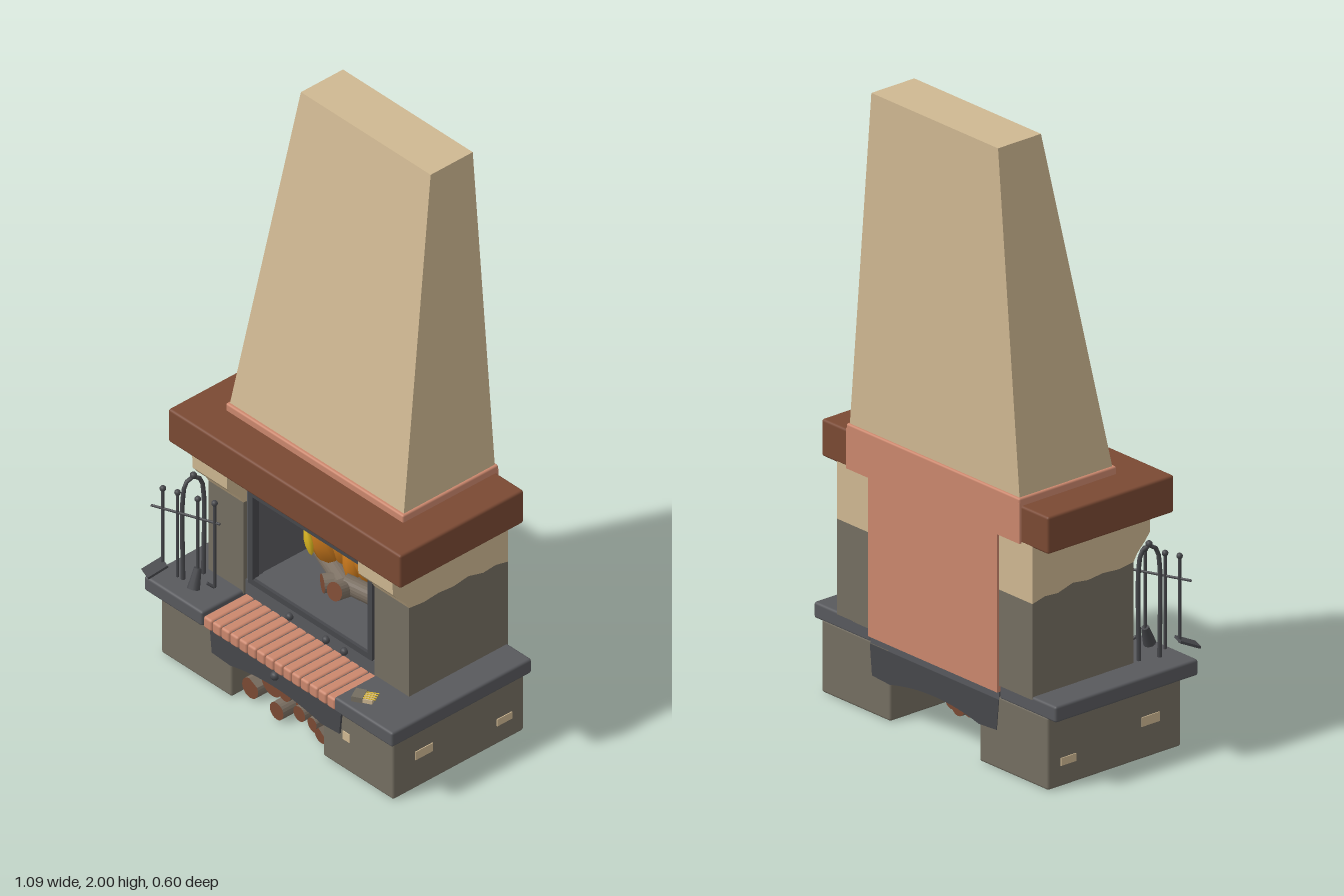
import * as THREE from 'three';
import { RoundedBoxGeometry } from 'three/addons/geometries/RoundedBoxGeometry.js';

const mat = (name, color) => {
  const m = new THREE.MeshStandardMaterial({ color });
  m.name = name;
  return m;
};

export function createModel() {
  const plaster = mat('plaster', 0xcfb892), wood = mat('wood', 0x7a4933), brick = mat('brick', 0xcb876d);
  const stone = mat('stone', 0x746e61), slate = mat('slate', 0x58595d), iron = mat('iron', 0x46474b);
  const soot = mat('soot', 0x4a402e), flame = mat('flame', 0xcf7c1e), ember = mat('ember', 0xd6b21f);
  const bark = mat('bark', 0x7b6f62);
  const model = new THREE.Group();
  model.name = 'fireplace';

  const add = (name, geo, material, parent = model) => {
    const mesh = new THREE.Mesh(geo, material);
    mesh.name = name;
    parent.add(mesh);
    return mesh;
  };
  const group = (name) => {
    const g = new THREE.Group();
    g.name = name;
    model.add(g);
    return g;
  };
  // Box given by its limits, with optional rounded edges
  const box = (name, x0, x1, y0, y1, z0, z1, material, r = 0, parent = model) => {
    const s = [x1 - x0, y1 - y0, z1 - z0];
    const geo = r ? new RoundedBoxGeometry(...s, 2, r) : new THREE.BoxGeometry(...s);
    geo.translate((x0 + x1) / 2, (y0 + y1) / 2, (z0 + z1) / 2);
    return add(name, geo, material, parent);
  };
  // Round bar between two points
  const rod = (name, a, b, r, material, parent, r2 = r) => {
    const p = new THREE.Vector3(...a), q = new THREE.Vector3(...b);
    const mesh = add(name, new THREE.CylinderGeometry(r2, r, p.distanceTo(q), 10), material, parent);
    mesh.position.copy(p).add(q).multiplyScalar(0.5);
    mesh.quaternion.setFromUnitVectors(new THREE.Vector3(0, 1, 0), q.sub(p).normalize());
    return mesh;
  };
  const ball = (name, x, y, z, r, material, parent) =>
    add(name, new THREE.SphereGeometry(r, 12, 8), material, parent).position.set(x, y, z);
  const shapeOf = (pts) => new THREE.Shape(pts.map(([x, y]) => new THREE.Vector2(x, y)));

  // Tapered hood with an upright back
  const hood = new THREE.BoxGeometry(1, 1, 1);
  const p = hood.attributes.position;
  for (let i = 0; i < p.count; i++) {
    const top = p.getY(i) > 0, front = p.getZ(i) > 0;
    p.setXYZ(i, Math.sign(p.getX(i)) * (top ? 0.285 : 0.383), top ? 2 : 0.89, front ? (top ? -0.13 : 0.07) : -0.3);
  }
  hood.computeVertexNormals();
  add('hood', hood, plaster);
  box('hoodLip', -0.39, 0.39, 0.875, 0.905, -0.308, 0.078, brick, 0.006);

  // Mantel and back wall
  box('mantel', -0.51, 0.51, 0.76, 0.88, -0.3, 0.2, wood, 0.008);
  box('backWall', -0.29, 0.29, 0.25, 0.77, -0.308, -0.285, brick);
  box('backWallTop', -0.39, 0.39, 0.76, 0.89, -0.308, -0.29, brick);

  // Pillars: bare stone below, plaster with a corbel above, meeting in a ragged line
  const rag = [[-0.3, 0.58], [-0.25, 0.592], [-0.2, 0.588], [-0.14, 0.605], [-0.08, 0.597], [-0.02, 0.603], [0.04, 0.598], [0.1, 0.605]];
  const lower = shapeOf([[-0.3, 0.27], [0.1, 0.27], ...[...rag].reverse()]);
  const upper = shapeOf([...rag, [0.115, 0.63], [0.145, 0.66], [0.165, 0.685], [0.168, 0.765], [-0.3, 0.765]]);
  for (const [side, s] of [['left', 1], ['right', -1]]) {
    for (const [part, shape, material] of [['PillarStone', lower, stone], ['PillarPlaster', upper, plaster]]) {
      const geo = new THREE.ExtrudeGeometry(shape, { depth: 0.152, bevelEnabled: false });
      geo.rotateY(-Math.PI / 2).translate(s * 0.364 + 0.076, 0, 0);
      add(side + part, geo, material);
    }
    // Base block and ledge
    box(side + 'Base', s > 0 ? 0.2 : -0.51, s > 0 ? 0.51 : -0.2, 0, 0.235, -0.3, 0.228, stone, 0.008);
    box(side + 'Ledge', s > 0 ? 0.29 : -0.545, s > 0 ? 0.545 : -0.29, 0.228, 0.28, -0.3, 0.265, slate, 0.008);
    // Worn patches on the base
    for (const [z, y, w, h] of [[0.105, 0.12, 0.07, 0.03], [-0.22, 0.08, 0.06, 0.025]])
      box(side + 'Patch', s * 0.511 - 0.002, s * 0.511 + 0.002, y - h / 2, y + h / 2, z - w / 2, z + w / 2, plaster);
  }
  box('frontPatch', 0.29, 0.32, 0.11, 0.14, 0.226, 0.231, plaster);

  // Arched lintel over the log store
  const arch = shapeOf([[-0.29, 0.225], [-0.28, 0.125], [-0.2, 0.12]]);
  arch.quadraticCurveTo(0, 0.17, 0.2, 0.12);
  arch.lineTo(0.28, 0.125);
  arch.lineTo(0.29, 0.225);
  add('lintel', new THREE.ExtrudeGeometry(arch, { depth: 0.537, bevelEnabled: false, curveSegments: 16 }).translate(0, 0, -0.302), iron);
  ball('lintelKnob', 0, 0.19, 0.237, 0.015, iron);

  // Brick hearth edge and brick course above the door
  const n = 15, step = 0.58 / n;
  for (let i = 0; i < n; i++) {
    const x = -0.29 + i * step;
    box('hearthBrick', x + 0.001, x + step - 0.001, 0.226, 0.267, 0.06, 0.262, brick, 0.008);
    const drop = 0.012 * (1 - Math.abs(i - 7) / 7);
    box('upperBrick', x + 0.001, x + step - 0.001, 0.685 - drop, 0.765, -0.02, 0.108, brick, 0.006);
  }
  box('hearthBed', -0.29, 0.29, 0.22, 0.262, -0.3, 0.25, slate);

  // Firebox lining
  box('fireboxBack', -0.28, 0.28, 0.28, 0.68, -0.285, -0.26, soot);
  box('fireboxCeiling', -0.29, 0.29, 0.655, 0.76, -0.285, 0.06, soot);
  box('fireboxFloor', -0.29, 0.29, 0.262, 0.33, -0.285, 0.06, slate);
  for (const s of [-1, 1])
    box('fireboxWall', s * 0.28 - 0.012, s * 0.28 + 0.012, 0.3, 0.68, -0.285, 0.06, slate);

  // Door frame with raised inner rim
  const frame = (name, w, y0, y1, t, z, d, material) => {
    const s = shapeOf([[-w, y0], [w, y0], [w, y1], [-w, y1]]);
    const k = w - t;
    s.holes.push(new THREE.Path([[-k, y0 + t], [-k, y1 - t], [k, y1 - t], [k, y0 + t]].map(([x, y]) => new THREE.Vector2(x, y))));
    add(name, new THREE.ExtrudeGeometry(s, { depth: d, bevelEnabled: false }).translate(0, 0, z), material);
  };
  frame('doorFrame', 0.29, 0.305, 0.68, 0.035, 0.05, 0.035, slate);
  frame('doorRim', 0.272, 0.318, 0.66, 0.02, 0.07, 0.025, iron);
  box('ashDrawer', -0.29, 0.29, 0.262, 0.32, 0.05, 0.09, slate);
  for (const x of [-0.09, 0.07, 0.15]) ball('drawerKnob', x, 0.29, 0.095, 0.013, iron);

  // Logs, some with a missing wedge: brown cut ends, bark around
  const log = (name, x, y, r, z0, len, cut, turn, parent) => {
    const s = new THREE.Shape();
    if (cut) s.moveTo(0, 0);
    s.absarc(0, 0, r, turn, turn + Math.PI * 2 - cut, false);
    const geo = new THREE.ExtrudeGeometry(s, { depth: len, bevelEnabled: false, curveSegments: 10 });
    const mesh = add(name, geo, [wood, bark], parent);
    mesh.position.set(x, y, z0);
    return mesh;
  };
  const store = group('logStore');
  for (const [x, y, r, cut, turn, z] of [
    [-0.16, 0.036, 0.035, 1.2, 1.7, -0.1], [-0.085, 0.085, 0.047, 0, 0, -0.12], [-0.022, 0.035, 0.03, 0, 0, -0.08],
    [0.04, 0.05, 0.032, 0, 0, -0.13], [-0.01, 0.097, 0.028, 1, 0.8, -0.1], [0.088, 0.088, 0.026, 0, 0, -0.07],
    [0.1, 0.031, 0.03, 1.4, 2, -0.12], [0.152, 0.03, 0.029, 2.6, 2.2, -0.1], [0.134, 0.072, 0.02, 0.8, 0.4, -0.08],
  ]) log('storedLog', x, y, r, z, 0.29, cut, turn, store);

  // Burning logs and flames
  const fire = group('fire');
  for (const [x, y, z, ry, rx] of [[-0.19, 0.37, -0.13, 1.2, 0], [0.2, 0.37, -0.1, -1.15, -0.25], [0.02, 0.37, -0.16, 0.1, -0.25], [0.02, 0.36, -0.2, -0.5, 0]]) {
    const l = log('burningLog', x, y, 0.03, z, 0.2, 0, 0, fire);
    l.rotation.set(rx, ry, 0, 'YXZ');
  }
  const tongue = new THREE.LatheGeometry(
    [[0, 0], [0.55, 0.1], [0.95, 0.33], [1, 0.55], [0.7, 0.78], [0.3, 0.93], [0, 1]].map(([x, y]) => new THREE.Vector2(x, y)), 9);
  for (const [x, y, z, r, h, lean, m] of [
    [-0.11, 0.39, -0.08, 0.07, 0.25, 0.08, flame], [-0.06, 0.4, -0.1, 0.065, 0.25, -0.1, flame], [0.065, 0.41, -0.08, 0.055, 0.23, 0.08, flame],
    [0.015, 0.39, -0.06, 0.035, 0.2, -0.05, flame], [0.1, 0.42, -0.1, 0.03, 0.16, -0.1, flame], [-0.15, 0.44, -0.08, 0.03, 0.2, 0.05, flame],
    [-0.06, 0.5, -0.045, 0.016, 0.14, 0.15, ember], [-0.12, 0.44, -0.022, 0.015, 0.1, 0.3, ember],
    [0.06, 0.5, -0.04, 0.018, 0.14, 0.1, ember], [0.1, 0.47, -0.06, 0.014, 0.13, -0.15, ember], [0.02, 0.5, -0.035, 0.012, 0.12, -0.1, ember],
  ]) {
    const t = add('flame', tongue, m, fire);
    t.position.set(x, y, z);
    t.scale.set(r, h, r * 0.8);
    t.rotation.z = lean;
  }

  // Fire tools: hooped stand, cross bar and hanging tools
  const tools = group('fireTools');
  const hoop = new THREE.CatmullRomCurve3(
    [[0.125, 0.28], [0.125, 0.58], [0.135, 0.63], [0.157, 0.645], [0.18, 0.63], [0.19, 0.58], [0.19, 0.28]]
      .map(([z, y]) => new THREE.Vector3(-0.455 + (0.19 - z) * 0.3, y, z)));
  add('standHoop', new THREE.TubeGeometry(hoop, 30, 0.007, 8), iron, tools);
  ball('standKnob', -0.445, 0.65, 0.157, 0.011, iron, tools);
  rod('crossBar', [-0.535, 0.535, 0.245], [-0.325, 0.535, 0.16], 0.004, iron, tools);
  const hang = [[-0.5, 0.23, 0.33], [-0.455, 0.212, 0.3], [-0.39, 0.19, 0.34], [-0.34, 0.168, 0.3]];
  for (const [x, z, y] of hang) {
    rod('toolShaft', [x, y, z], [x, 0.6, z], 0.005, iron, tools);
    ball('toolHandle', x, 0.608, z, 0.01, iron, tools);
  }
  const pan = box('shovelPan', -0.025, 0.025, -0.004, 0.004, -0.01, 0.06, iron, 0, tools);
  pan.position.set(-0.498, 0.335, 0.235);
  pan.rotation.set(0.4, -0.35, 0, 'YXZ');
  rod('brushHead', [-0.382, 0.295, 0.215], [-0.39, 0.355, 0.19], 0.02, iron, tools, 0.012);
  rod('pokerHook', [-0.34, 0.3, 0.168], [-0.355, 0.315, 0.185], 0.005, iron, tools);

  // Open matchbox on the ledge
  const matches = group('matchbox');
  box('matchboxTray', -0.03, 0.03, 0, 0.014, -0.02, 0.02, plaster, 0, matches);
  box('matchboxSleeve', -0.035, 0.0, 0, 0.018, -0.023, 0.023, stone, 0, matches);
  for (let i = 0; i < 4; i++)
    rod('matchstick', [0.0, 0.016, -0.015 + i * 0.01], [0.04, 0.017, -0.017 + i * 0.011], 0.002, ember, matches);
  matches.position.set(0.36, 0.28, 0.205);
  matches.rotation.y = 0.5;

  return model;
}
